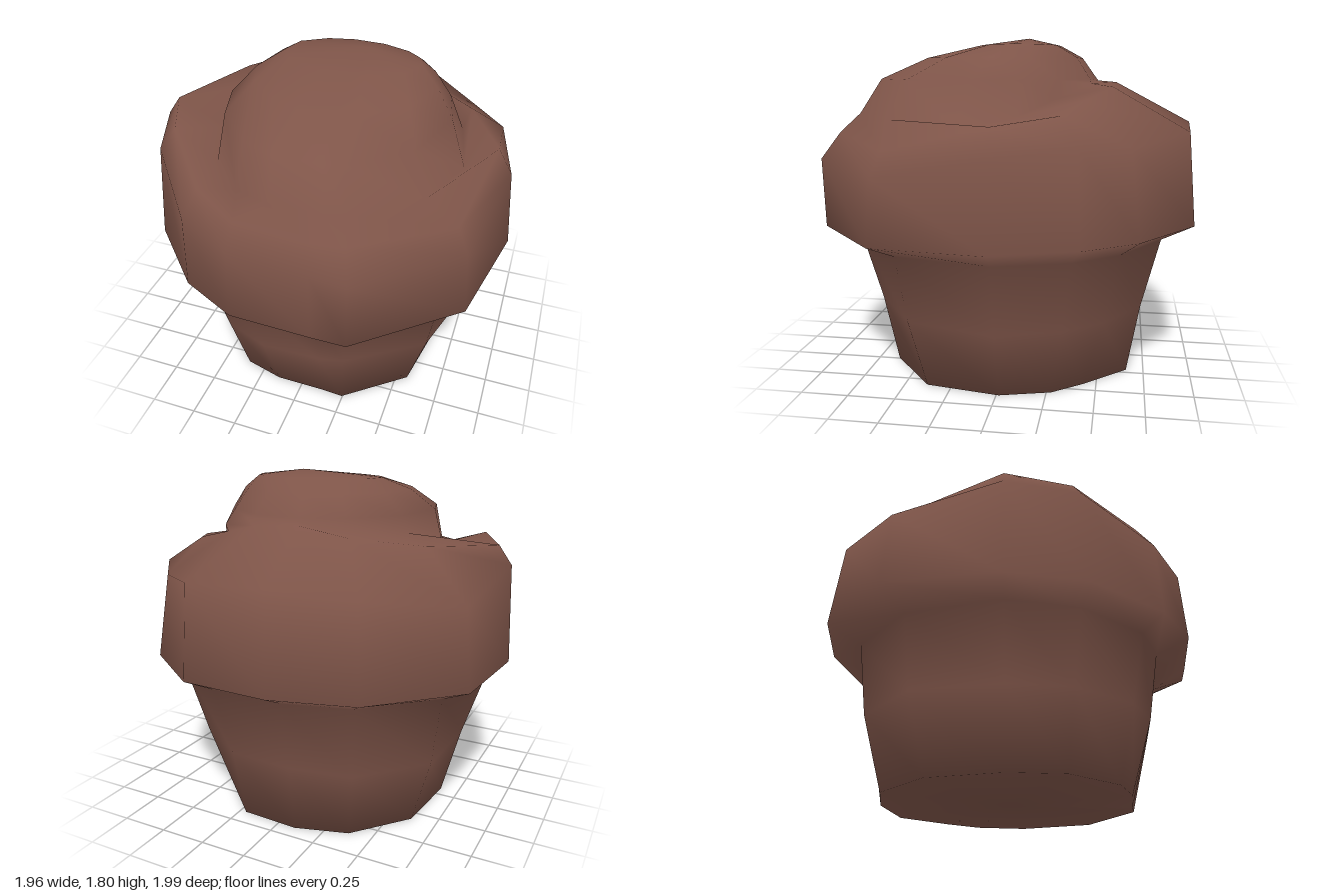
import * as THREE from 'three';

// Skin a stack of equal-length rings (bottom to top), closed by two end points
function loft(rings, bottom, top) {
  const n = rings[0].length, pos = rings.flat(2), idx = [];
  for (let i = 0; i < rings.length - 1; i++) {
    for (let j = 0; j < n; j++) {
      const k = (j + 1) % n;
      const a = i * n + j, b = i * n + k, c = a + n, d = b + n;
      idx.push(a, c, d, a, d, b);
    }
  }
  const low = pos.length / 3, high = low + 1, last = (rings.length - 1) * n;
  pos.push(...bottom, ...top);
  for (let j = 0; j < n; j++) {
    const k = (j + 1) % n;
    idx.push(j, k, low, last + j, high, last + k);
  }
  const g = new THREE.BufferGeometry();
  g.setAttribute('position', new THREE.Float32BufferAttribute(pos, 3));
  g.setIndex(idx);
  g.computeVertexNormals();
  return g;
}

export function createModel() {
  const group = new THREE.Group();
  const brown = new THREE.MeshStandardMaterial({ color: 0x7f5549 });
  brown.name = 'chocolateBrown';

  // Crust, clockwise from the back:
  // rim x, rim z, shoulder scale, shoulder y, crest scale, crest y, valley y
  const crust = [
    [-0.15, -1.0, 0.97, 1.35, 0.56, 1.57, 1.58],
    [0.32, -0.98, 0.96, 1.33, 0.56, 1.55, 1.57],
    [0.70, -0.70, 0.93, 1.28, 0.60, 1.49, 1.50],
    [0.87, -0.43, 0.96, 1.30, 0.76, 1.43, 1.42],
    [0.98, -0.02, 0.96, 1.25, 0.88, 1.39, 1.36],
    [0.86, 0.58, 0.97, 1.14, 0.90, 1.26, 1.40],
    [0.38, 0.98, 1.01, 1.17, 0.91, 1.31, 1.41],
    [0.20, 0.98, 0.99, 1.17, 0.92, 1.30, 1.41],
    [-0.22, 0.97, 0.98, 1.17, 0.91, 1.31, 1.40],
    [-0.52, 0.83, 0.98, 1.20, 0.88, 1.34, 1.38],
    [-0.85, 0.49, 0.95, 1.34, 0.86, 1.45, 1.36],
    [-0.98, 0.10, 0.98, 1.34, 0.91, 1.44, 1.40],
    [-0.94, -0.48, 0.96, 1.24, 0.70, 1.48, 1.50],
    [-0.56, -0.88, 0.95, 1.31, 0.65, 1.53, 1.56],
  ];
  const angles = crust.map(([x, z]) => Math.atan2(x, -z));

  // Dented cup: radius at base, middle and top, in the same directions
  const cup = [
    [0.68, 0.75, 0.83], [0.69, 0.76, 0.86], [0.61, 0.75, 0.86],
    [0.62, 0.76, 0.86], [0.63, 0.79, 0.86], [0.68, 0.80, 0.87],
    [0.68, 0.76, 0.86], [0.64, 0.75, 0.82], [0.64, 0.76, 0.82],
    [0.67, 0.77, 0.85], [0.68, 0.77, 0.87], [0.655, 0.755, 0.875],
    [0.69, 0.82, 0.88], [0.70, 0.81, 0.86],
  ];
  const cupRing = (k, y, tilt) => angles.map((t, j) => {
    const z = -cup[j][k] * Math.cos(t);
    return [cup[j][k] * Math.sin(t), y + tilt * z, z];
  });

  // Dome rings are offset ellipses that lean toward the front
  const domeRing = (y, cx, cz, rx, rz) => angles.map((t) =>
    [cx + rx * Math.sin(t), y, cz - rz * Math.cos(t)]);
  const valley = domeRing(0, 0.09, 0.18, 0.63, 0.65)
    .map(([x, , z], j) => [x, crust[j][6], z]);

  // One continuous skin so the shading flows from cup to crust to dome
  const muffin = new THREE.Mesh(loft([
    cupRing(0, 0, 0),
    cupRing(1, 0.38, 0),
    cupRing(2, 0.745, -0.02),
    crust.map(([x, z]) => [x, 0.825 - 0.025 * z, z]),
    crust.map(([x, z, s, y]) => [x * s, y, z * s]),
    crust.map(([x, z, , , s, y]) => [x * s, y, z * s]),
    valley,
    domeRing(1.59, 0.06, 0.13, 0.57, 0.59),
    domeRing(1.70, 0.06, 0.04, 0.47, 0.42),
    domeRing(1.765, 0.07, -0.05, 0.36, 0.21),
  ], [0, 0, 0], [0.14, 1.80, -0.10]), brown);
  muffin.name = 'muffin';
  group.add(muffin);
  return group;
}
